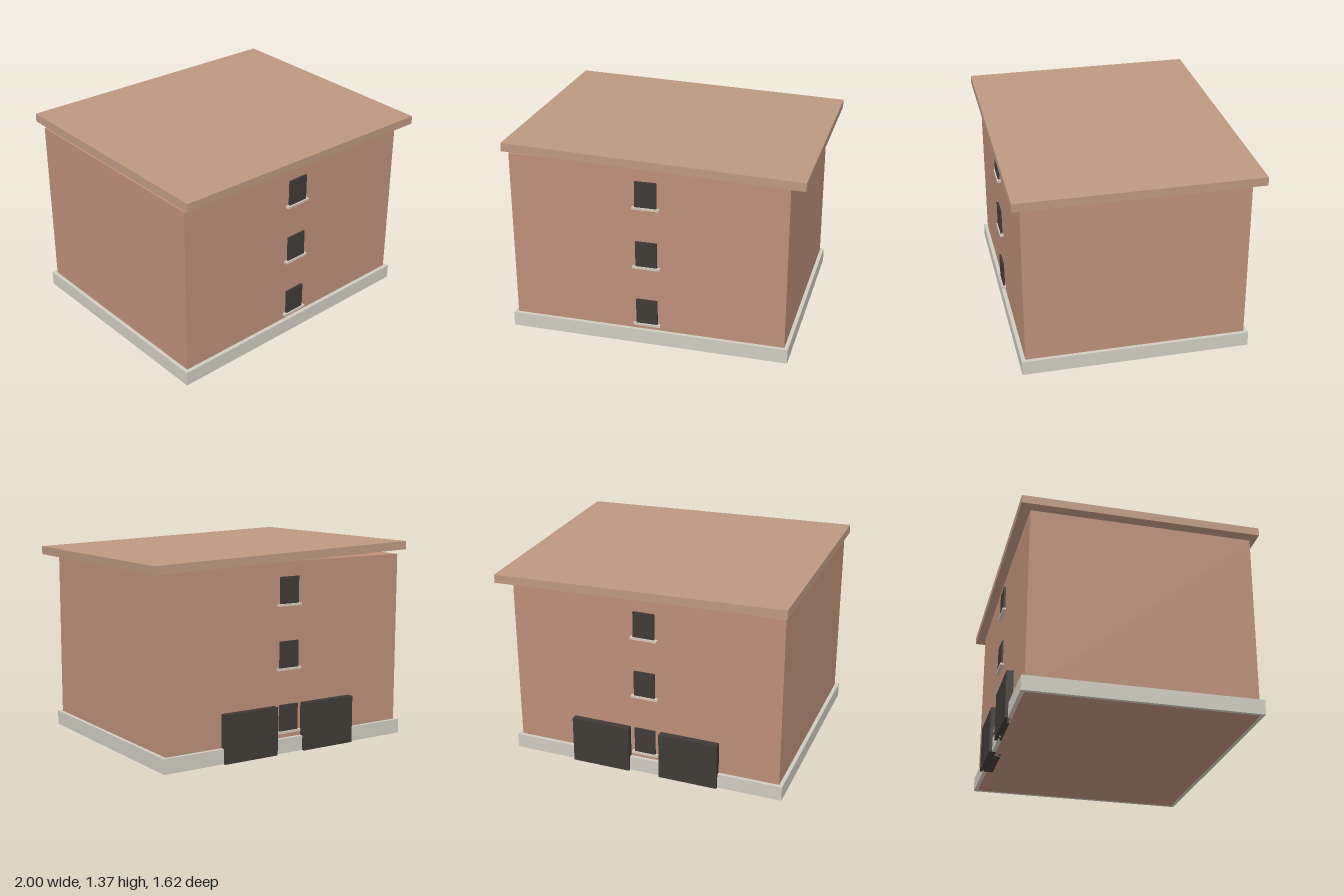
import * as THREE from 'three';

const material = (color) => new THREE.MeshStandardMaterial({ color });

export function createModel() {
  const house = new THREE.Group();
  house.name = 'house';

  const brick = material(0xbc8f79);
  const stone = material(0xcfcbbf);
  const roofing = material(0xbc9881);
  const dark = material(0x3f3a36);
  const sillStone = material(0xd2c6b8);
  const centreX = -0.04;

  // Box given by its size and centre
  function box(name, size, position, mat, parent = house) {
    const mesh = new THREE.Mesh(new THREE.BoxGeometry(...size), mat);
    mesh.name = name;
    mesh.position.set(...position);
    parent.add(mesh);
    return mesh;
  }

  // Body and plinth
  box('walls', [1.868, 1.274, 1.497], [centreX, 0.637, 0], brick);
  box('plinth', [1.92, 0.1, 1.55], [centreX, 0.05, 0], stone);

  // Slab roof sloping down towards +x
  const roof = box('roof', [1.995, 0.057, 1.62], [0, 1.308, 0], roofing);
  roof.rotation.z = -0.03;

  // A column of windows with sills on the front and back
  for (const side of [1, -1]) {
    for (let floor = 0; floor < 3; floor++) {
      const window = new THREE.Group();
      window.name = (side > 0 ? 'frontWindow' : 'backWindow') + (floor + 1);
      window.position.set(centreX, 0.15 + floor * 0.425, 0);
      house.add(window);
      box('pane', [0.146, 0.177, 0.013], [0, 0.0885, side * 0.761], dark, window);
      box('sill', [0.186, 0.015, 0.025], [0, -0.0085, side * 0.763], sillStone, window);
    }
  }

  // Two large doors at the back, either side of the ground-floor window
  for (const side of [1, -1]) {
    box(side > 0 ? 'leftDoor' : 'rightDoor', [0.41, 0.325, 0.09],
      [centreX + side * 0.313, 0.1625, -0.75], dark);
  }

  return house;
}
